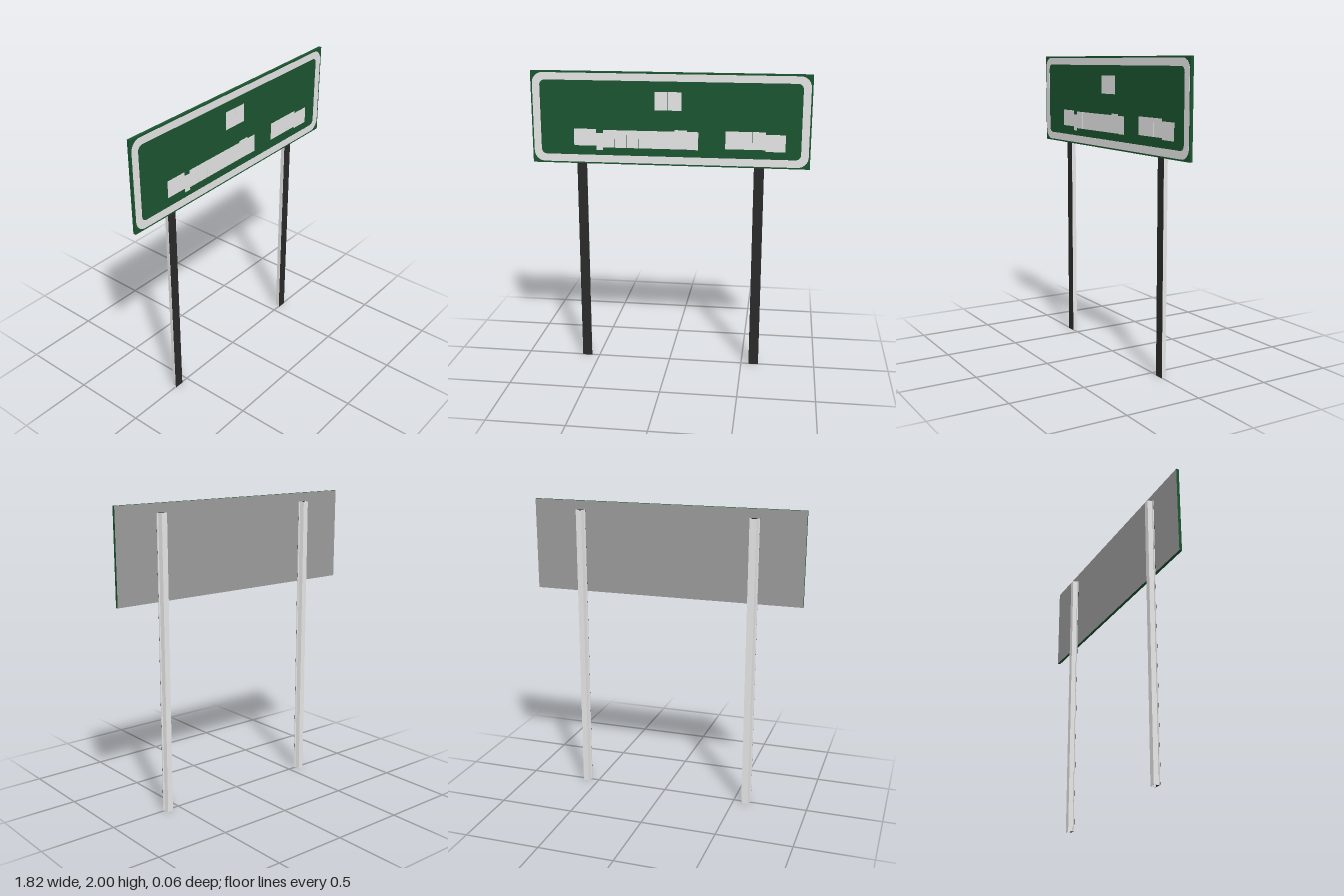
import * as THREE from 'three';

const mat = (name, color) => {
  const m = new THREE.MeshStandardMaterial({ color });
  m.name = name;
  return m;
};

// Rounded rectangle outline, usable as a shape or a hole
function roundedRect(path, x0, y0, x1, y1, r) {
  path.moveTo(x0 + r, y0);
  path.lineTo(x1 - r, y0);
  path.absarc(x1 - r, y0 + r, r, -Math.PI / 2, 0);
  path.lineTo(x1, y1 - r);
  path.absarc(x1 - r, y1 - r, r, 0, Math.PI / 2);
  path.lineTo(x0 + r, y1);
  path.absarc(x0 + r, y1 - r, r, Math.PI / 2, Math.PI);
  path.lineTo(x0, y0 + r);
  path.absarc(x0 + r, y0 + r, r, Math.PI, Math.PI * 1.5);
  return path;
}

export function createModel() {
  const model = new THREE.Group();
  model.name = 'roadSign';

  const green = mat('signGreen', 0x1b5530);
  const white = mat('reflectiveWhite', 0xe8e8e8);
  const backGrey = mat('panelBackGrey', 0x9d9d9d);
  const steel = mat('postSteel', 0xe8e8e8);
  const dark = mat('postFrontDark', 0x2a2a2a);
  dark.side = THREE.DoubleSide;

  const add = (name, geometry, material, parent = model) => {
    const m = new THREE.Mesh(geometry, material);
    m.name = name;
    parent.add(m);
    return m;
  };

  // Sign panel: green front and edges, bare metal back
  const panel = add('signPanel', new THREE.BoxGeometry(1.82, 0.606, 0.019),
    [green, green, green, green, green, backGrey]);
  panel.position.set(0, 1.697, 0.016);

  // Rounded border band
  const border = roundedRect(new THREE.Shape(), -0.9, 1.404, 0.9, 1.989, 0.07);
  border.holes.push(roundedRect(new THREE.Path(), -0.851, 1.453, 0.851, 1.942, 0.035));
  add('border', new THREE.ExtrudeGeometry(border, { depth: 0.0015, bevelEnabled: false, curveSegments: 6 }),
    white).position.z = 0.0255;

  // Blank legend plates: [x0, x1, y0, y1]
  const plates = [
    [-0.095, -0.01, 1.756, 1.875], [-0.008, 0.079, 1.756, 1.875],
    [-0.63, -0.482, 1.514, 1.625], [-0.482, -0.437, 1.487, 1.599],
    [-0.436, -0.36, 1.504, 1.62], [-0.358, -0.28, 1.504, 1.62],
    [-0.278, -0.201, 1.504, 1.62], [-0.199, 0.037, 1.504, 1.62],
    [0.037, 0.116, 1.504, 1.63], [0.116, 0.19, 1.502, 1.62],
    [0.365, 0.536, 1.514, 1.63], [0.538, 0.624, 1.514, 1.63],
    [0.624, 0.751, 1.503, 1.614],
  ];
  const legend = new THREE.Group();
  legend.name = 'legendPlates';
  model.add(legend);
  plates.forEach(([x0, x1, y0, y1], i) => {
    add(`legendPlate${i + 1}`, new THREE.BoxGeometry(x1 - x0, y1 - y0, 0.0015), white, legend)
      .position.set((x0 + x1) / 2, (y0 + y1) / 2, 0.02625);
  });

  // Hat-section steel posts; half profile as [x, depth], mirrored to close the loop
  const half = [[0.019, 0.032], [0.024, 0.001], [0.033, 0.001], [0.033, -0.005], [0.022, -0.005], [0.0165, 0.029]];
  const mirrored = half.map(([x, d]) => [-x, d]).reverse();
  const hat = new THREE.Shape([...half, ...mirrored].map(([x, d]) => new THREE.Vector2(x, d)));
  const height = 1.941;
  const channel = new THREE.ExtrudeGeometry(hat, { depth: height, bevelEnabled: false }).rotateX(-Math.PI / 2);
  const face = new THREE.PlaneGeometry(0.066, height).translate(0, height / 2, 0.0057);
  for (const [side, x] of [['left', 0.585], ['right', -0.585]]) {
    const post = new THREE.Group();
    post.name = `${side}Post`;
    post.position.x = x;
    add('postChannel', channel, steel, post);
    add('postFrontFace', face, dark, post);
    model.add(post);
  }

  return model;
}
